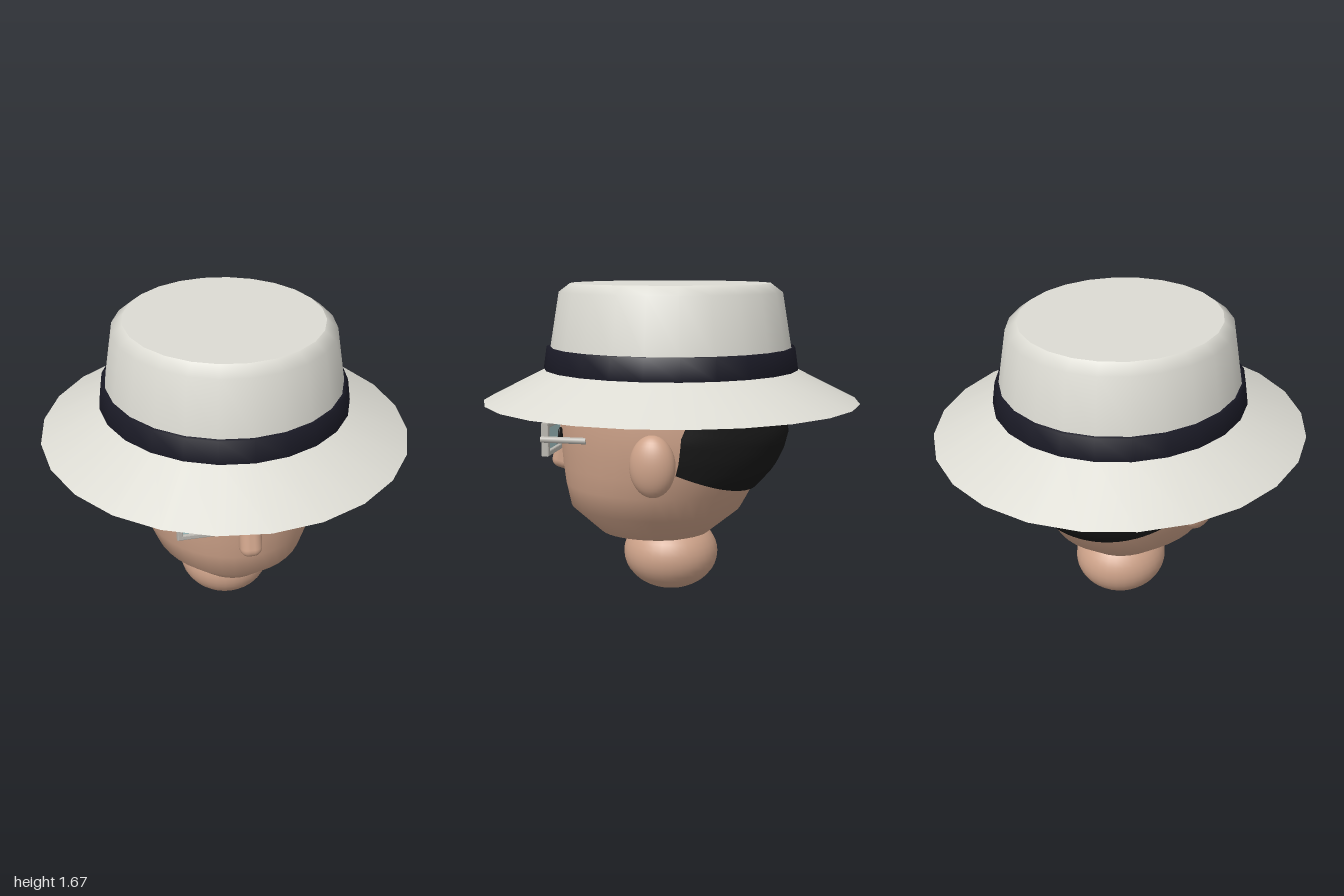
import * as THREE from 'three';
import { mergeVertices } from 'three/addons/utils/BufferGeometryUtils.js';
import { RoundedBoxGeometry } from 'three/addons/geometries/RoundedBoxGeometry.js';

const V2 = (x, y) => new THREE.Vector2(x, y);

// Head cross-sections: [height, half width, front z, back z]
const SECTIONS = [
  [0.32, 0.23, 0.39, -0.2], [0.47, 0.4, 0.55, -0.38], [0.6, 0.455, 0.575, -0.45],
  [0.7, 0.485, 0.587, -0.54], [0.8, 0.507, 0.595, -0.59], [0.9, 0.52, 0.6, -0.615],
  [1.05, 0.522, 0.59, -0.58], [1.2, 0.5, 0.55, -0.54], [1.32, 0.4, 0.44, -0.44],
];

function sectionAt(y) {
  let i = 0;
  while (i < SECTIONS.length - 2 && y > SECTIONS[i + 1][0]) i++;
  const a = SECTIONS[i], b = SECTIONS[i + 1];
  const t = THREE.MathUtils.clamp((y - a[0]) / (b[0] - a[0]), 0, 1);
  const [rx, f, k] = [1, 2, 3].map((n) => THREE.MathUtils.lerp(a[n], b[n], t));
  return { rx, rz: (f - k) / 2, cz: (f + k) / 2 };
}

// Lathe whose rings are stretched to the head's cross-sections
function headLathe(profile) {
  const geo = new THREE.LatheGeometry(profile, 40);
  const p = geo.attributes.position;
  for (let i = 0; i < p.count; i++) {
    const s = sectionAt(p.getY(i));
    p.setZ(i, s.cz + p.getZ(i) * s.rz / s.rx);
  }
  geo.deleteAttribute('uv');
  geo.deleteAttribute('normal');
  const merged = mergeVertices(geo, 1e-5);
  merged.computeVertexNormals();
  return merged;
}

// Hair: a sheet that follows the back of the head, lower in the middle
function hairGeometry() {
  const geo = new THREE.PlaneGeometry(2, 1, 40, 14);
  const p = geo.attributes.position;
  for (let i = 0; i < p.count; i++) {
    const u = p.getX(i), v = p.getY(i) + 0.5;
    const low = 0.6 + 0.14 * Math.pow(Math.abs(u), 2.2);
    const y = THREE.MathUtils.lerp(low, 1.18, v);
    const limit = 1.33 - 0.9 * Math.max(0, y - 0.92);
    const s = sectionAt(y), t = u * limit, off = 0.02;
    p.setXYZ(i, -Math.sin(t) * (s.rx + off), y, s.cz - Math.cos(t) * (s.rz + off));
  }
  geo.computeVertexNormals();
  return geo;
}

// Rectangular frame with a rectangular opening
function frameGeometry(w, h, rim, depth) {
  const rect = (S, a, b) => new S([V2(-a, -b), V2(a, -b), V2(a, b), V2(-a, b)]);
  const shape = rect(THREE.Shape, w / 2 - 0.006, h / 2 - 0.006);
  shape.holes.push(rect(THREE.Path, w / 2 - rim, h / 2 - rim));
  return new THREE.ExtrudeGeometry(shape, {
    depth, bevelEnabled: true, bevelSize: 0.006, bevelThickness: 0.006, bevelSegments: 2,
  });
}

export function createModel() {
  const model = new THREE.Group();
  const mat = (name, color, side = THREE.FrontSide) => {
    const m = new THREE.MeshStandardMaterial({ color, side });
    m.name = name;
    return m;
  };
  const skin = mat('skin', 0xcda289);
  const felt = mat('hat felt', 0xdcdbd3, THREE.DoubleSide);
  const ribbon = mat('ribbon', 0x1b1b27, THREE.DoubleSide);
  const black = mat('black hair', 0x181818, THREE.DoubleSide);
  const metal = mat('frame metal', 0xbab7b0);
  const glass = mat('lens glass', 0xa8c9ca);

  const add = (name, geo, material, pos = [0, 0, 0], scale = [1, 1, 1], parent = model) => {
    const mesh = new THREE.Mesh(geo, material);
    mesh.name = name;
    mesh.position.set(...pos);
    mesh.scale.set(...scale);
    parent.add(mesh);
    return mesh;
  };
  const ball = new THREE.SphereGeometry(1, 32, 20);

  // Head and neck
  add('head', headLathe([...SECTIONS.map((s) => V2(s[1], s[0])), V2(0, 1.34)]), skin);
  add('chinUnderside', headLathe([V2(0, 0.32), V2(0.23, 0.32)]), skin);
  add('neck', ball, skin, [0, 0.205, 0], [0.25, 0.203, 0.258]);
  add('hair', hairGeometry(), black);
  const nose = add('nose', new RoundedBoxGeometry(0.112, 0.2, 0.12, 4, 0.045), skin, [0, 0.745, 0.595]);
  nose.rotation.x = -0.25;

  // Hat: brim, crown and band share an oval plan
  const hat = new THREE.Group();
  hat.name = 'hat';
  hat.scale.x = 0.96;
  model.add(hat);
  const turn = (name, pts, m) =>
    add(name, new THREE.LatheGeometry(pts.map(([r, y]) => V2(r, y)), 24), m, undefined, undefined, hat);
  turn('brim', [[1, 1.05], [0.65, 1.225]], felt);
  turn('crown', [[0.65, 1.22], [0.64, 1.33], [0.59, 1.62], [0.53, 1.665]], felt);
  turn('crownTop', [[0.53, 1.665], [0, 1.668]], felt);
  turn('hatBand', [[0.645, 1.22], [0.677, 1.22], [0.66, 1.335], [0.635, 1.335]], ribbon);

  // Glasses
  const glasses = new THREE.Group();
  glasses.name = 'glasses';
  model.add(glasses);
  const frame = frameGeometry(0.28, 0.175, 0.022, 0.028);
  const rod = (r, len) => new THREE.CylinderGeometry(r, r, len, 12);

  // Paired parts
  for (const [side, s] of [['left', 1], ['right', -1]]) {
    add(side + 'Ear', ball, skin, [s * 0.522, 0.787, -0.015], [0.08, 0.157, 0.116]);
    add(side + 'Eyebrow', ball, black, [s * 0.232, 0.993, 0.542], [0.054, 0.025, 0.024]);
    add(side + 'Eye', ball, black, [s * 0.225, 0.87, 0.55], [0.03, 0.045, 0.012]);
    add(side + 'Frame', frame, metal, [s * 0.225, 0.868, 0.577], undefined, glasses);
    add(side + 'Lens', new THREE.BoxGeometry(0.25, 0.145, 0.009), glass, [s * 0.225, 0.868, 0.593], undefined, glasses);
    add(side + 'Bridge', rod(0.014, 0.085), metal, [s * 0.053, 0.893, 0.597], undefined, glasses).rotation.z = Math.PI / 2;
    add(side + 'Temple', rod(0.017, 0.24), metal, [s * 0.41, 0.88, 0.475], undefined, glasses).rotation.x = Math.PI / 2;
  }
  return model;
}
